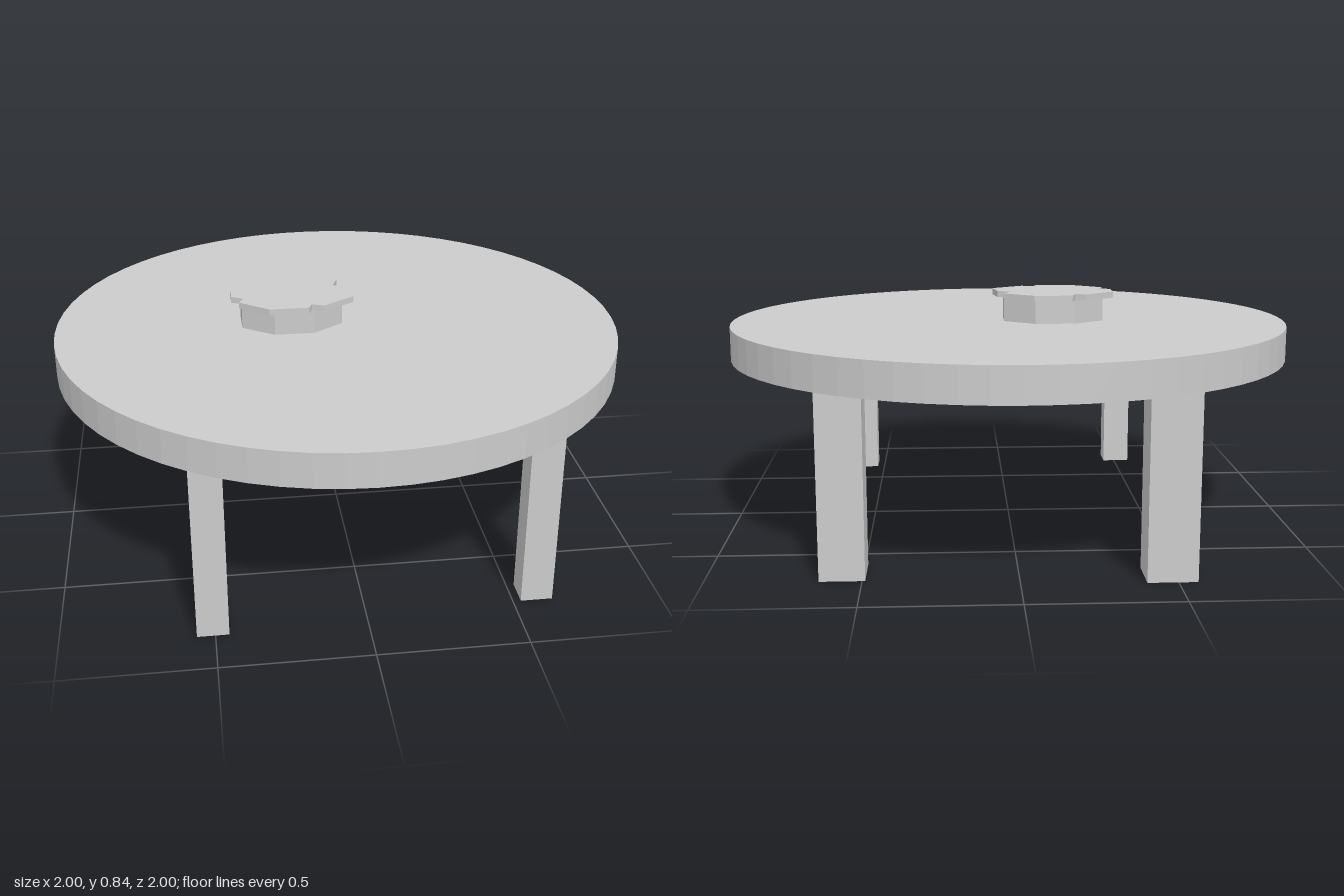
import * as THREE from 'three';

const material = new THREE.MeshStandardMaterial({ color: 0xcccccc, flatShading: true });

function addMesh(group, name, geometry) {
  const mesh = new THREE.Mesh(geometry, material);
  mesh.name = name;
  group.add(mesh);
  return mesh;
}

// Horizontal slab from an [x, z] outline between two heights
function slab(outline, bottom, top) {
  const shape = new THREE.Shape(outline.map(([x, z]) => new THREE.Vector2(x, z)));
  const geometry = new THREE.ExtrudeGeometry(shape, { depth: top - bottom, bevelEnabled: false });
  return geometry.rotateX(Math.PI / 2).translate(0, top, 0);
}

export function createModel() {
  const table = new THREE.Group();
  table.name = 'roundTable';

  // Round top
  addMesh(table, 'tableTop', new THREE.CylinderGeometry(1, 1, 0.12, 64)).position.y = 0.67;

  // Square legs, the back pair thicker: x range, z range
  const legs = [
    ['frontLeftLeg', 0.527, 0.635, 0.68, 0.775],
    ['frontRightLeg', -0.56, -0.455, 0.735, 0.835],
    ['backLeftLeg', 0.49, 0.637, -0.77, -0.61],
    ['backRightLeg', -0.563, -0.4, -0.83, -0.687],
  ];
  const legHeight = 0.612;
  for (const [name, x0, x1, z0, z1] of legs) {
    const leg = addMesh(table, name, new THREE.BoxGeometry(x1 - x0, legHeight, z1 - z0));
    leg.position.set((x0 + x1) / 2, legHeight / 2, (z0 + z1) / 2);
  }

  // Small eight-sided dish standing off centre
  const dish = new THREE.Group();
  dish.name = 'dish';
  table.add(dish);
  addMesh(dish, 'dishBody', slab([
    [-0.23, 0.107], [-0.09, 0.107], [0.017, 0.03], [0.017, -0.07],
    [-0.09, -0.15], [-0.23, -0.15], [-0.34, -0.07], [-0.34, 0.03],
  ], 0.73, 0.816));

  // Notched lid
  addMesh(dish, 'dishLid', slab([
    [-0.217, -0.208], [-0.083, -0.208], [0.019, -0.131], [-0.003, -0.072],
    [0.04, -0.05], [0.056, 0.045], [-0.056, 0.12], [-0.099, 0.104],
    [-0.11, 0.133], [-0.249, 0.133], [-0.35, 0.056], [-0.334, 0.019],
    [-0.375, -0.003], [-0.375, -0.088], [-0.27, -0.174], [-0.233, -0.158],
  ], 0.815, 0.837));

  return table;
}
